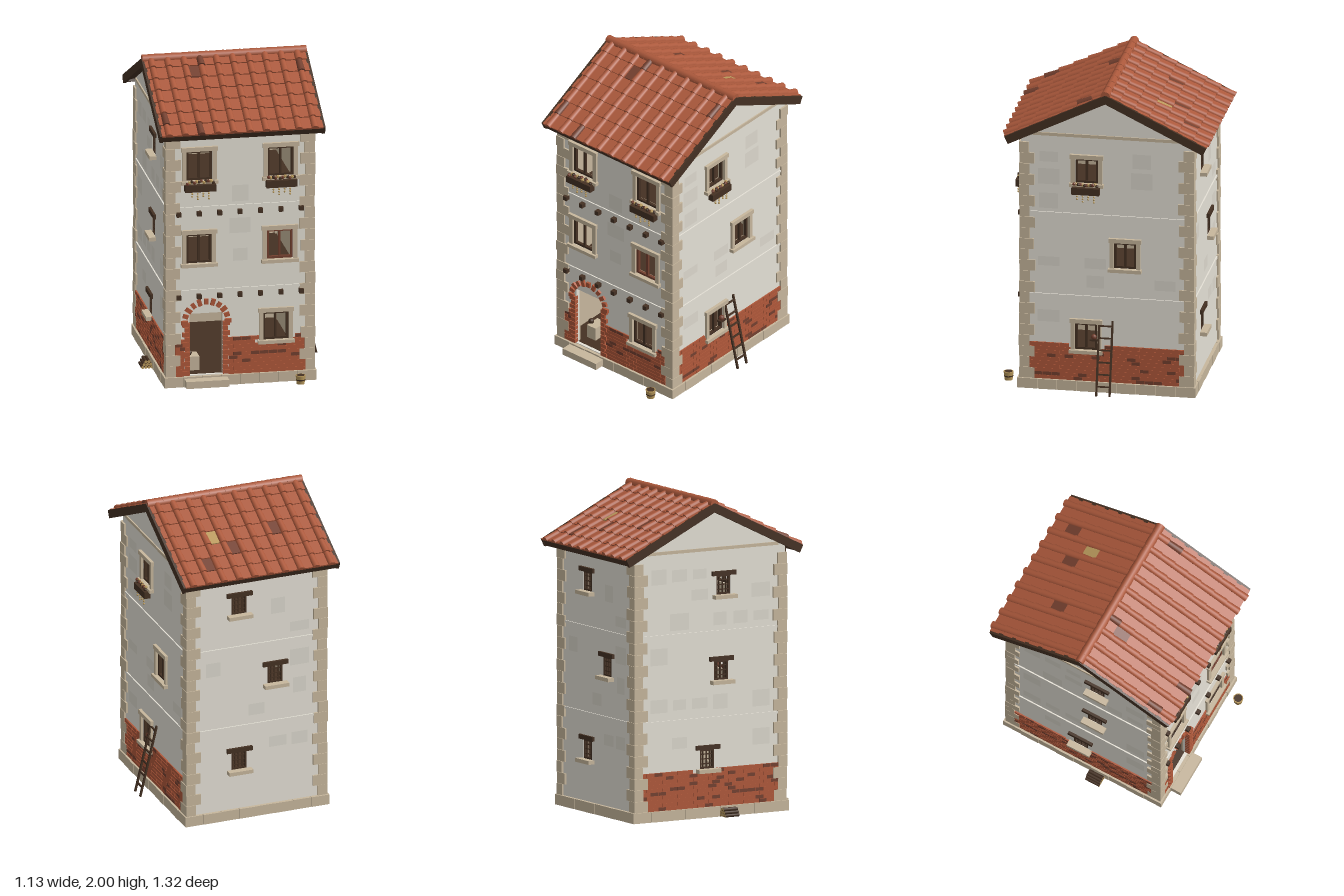
import * as THREE from 'three';
import { mergeGeometries } from 'three/addons/utils/BufferGeometryUtils.js';

const material = (name, color) => {
  const m = new THREE.MeshStandardMaterial({ color });
  m.name = name;
  return m;
};

const HW = 0.46, HD = 0.54;      // wall half width and half depth
const SLOPE = 0.488, APEX = 1.965;

export function createModel() {
  const plaster = material('plaster', 0xe5e1d6), aged = material('agedPlaster', 0xdcd8cd);
  const stone = material('stone', 0xc7b79d), brick = material('brick', 0xb0583a);
  const darkBrick = material('darkBrick', 0x74402f), tile = material('roofTile', 0xac593c);
  const wood = material('darkWood', 0x453123), straw = material('straw', 0xba9a5c);

  let seed = 7;
  const rand = () => (seed = (seed * 16807) % 2147483647) / 2147483647;

  const model = new THREE.Group();
  model.name = 'townHouse';
  const house = new THREE.Group();
  house.name = 'house';
  house.position.set(-0.015, 0, -0.01);
  model.add(house);

  const add = (parent, name, geo, mat) => {
    const mesh = new THREE.Mesh(geo, mat);
    mesh.name = name;
    parent.add(mesh);
    return mesh;
  };
  const boxGeo = (w, h, d, x, y, z) => new THREE.BoxGeometry(w, h, d).translate(x, y, z);
  const box = (parent, name, mat, ...dims) => add(parent, name, boxGeo(...dims), mat);
  const merged = (parent, name, mat, geos) => geos.length && add(parent, name, mergeGeometries(geos), mat);

  // Openings per face: u = across, y0..y1 = height, small = latticed window
  const win = (u, y0, y1, w, opts = {}) => ({ u, y0, y1, w, ...opts });
  const small = (u, y) => win(u, y - 0.06, y + 0.06, 0.1, { small: true });
  const door = win(-0.215, 0.07, 0.47, 0.21, { door: true });
  const faces = [
    { name: 'front', half: HW, dist: HD, turn: 0, openings: [door,
      win(-0.258, 1.34, 1.53, 0.165, { planter: true }), win(0.255, 1.34, 1.53, 0.165, { planter: true }),
      win(-0.26, 0.8, 0.99, 0.16), win(0.25, 0.8, 0.99, 0.165, { frame: darkBrick }),
      win(0.225, 0.275, 0.455, 0.16)] },
    { name: 'left', half: HD, dist: HW, turn: Math.PI / 2, gable: true, openings: [
      win(-0.127, 1.37, 1.53, 0.145, { planter: true }), win(0.115, 0.82, 0.99, 0.14), win(-0.13, 0.27, 0.445, 0.14)] },
    { name: 'back', half: HW, dist: HD, turn: Math.PI, openings: [small(-0.115, 1.445), small(0.125, 0.94), small(-0.115, 0.39)] },
    { name: 'right', half: HD, dist: HW, turn: -Math.PI / 2, gable: true, openings: [small(0.097, 1.45), small(0.08, 0.915), small(-0.02, 0.365)] },
  ];

  // Wall panel with its openings cut through
  const wallGeo = (f, half, depth, z) => {
    const pts = [[-half, 0.055], [half, 0.055], [half, 1.67]];
    if (f.gable) pts.push([0, 1.94]);
    pts.push([-half, 1.67]);
    const shape = new THREE.Shape(pts.map(p => new THREE.Vector2(...p)));
    for (const o of f.openings) {
      const a = o.u - o.w / 2, b = o.u + o.w / 2;
      shape.holes.push(new THREE.Path([[a, o.y0], [a, o.y1], [b, o.y1], [b, o.y0]].map(p => new THREE.Vector2(...p))));
    }
    return new THREE.ExtrudeGeometry(shape, { depth, bevelEnabled: false }).translate(0, 0, z);
  };
  const blocked = (f, u, y, w, h, m) => f.openings.some(o =>
    Math.abs(u - o.u) < (w + o.w) / 2 + m && y + h / 2 > o.y0 - m && y - h / 2 < o.y1 + m);

  const buildPlanter = (g, u, y, w) => {
    box(g, 'flowerBox', wood, w + 0.03, 0.045, 0.04, u, y - 0.045, 0.036);
    const leaves = [[], [], []], beads = [];
    for (let i = 0; i < 12; i++)
      leaves[i % 3].push(new THREE.IcosahedronGeometry(0.012, 0).translate(u + (i / 11 - 0.5) * w, y - 0.015 + rand() * 0.015, 0.036 + (rand() - 0.5) * 0.02));
    for (let i = 0; i < 4; i++) for (let j = 0; j < 2 + i % 2; j++)
      beads.push(new THREE.IcosahedronGeometry(0.007, 0).translate(u + (i - 1.5) * 0.035, y - 0.08 - j * 0.017, 0.045));
    [darkBrick, straw, wood].forEach((mat, k) => merged(g, 'plants', mat, leaves[k]));
    merged(g, 'trailingFlowers', straw, beads);
  };

  const buildWindow = (g, o) => {
    const { u, y0, y1, w } = o, h = y1 - y0, y = (y0 + y1) / 2, bars = [];
    const t = o.small ? 0.01 : 0.014, z = -0.012;
    for (const s of [-1, 1]) {
      bars.push(boxGeo(t, h, 0.02, u + s * (w - t) / 2, y, z), boxGeo(w, t, 0.02, u, y + s * (h - t) / 2, z));
    }
    if (o.small) {
      for (const k of [-1, 0, 1]) bars.push(boxGeo(0.006, h, 0.01, u + k * w / 4, y, z), boxGeo(w, 0.006, 0.01, u, y + k * h / 4, z));
      box(g, 'lintel', wood, 0.17, 0.028, 0.03, u, y1 + 0.014, 0.002);
      box(g, 'sill', stone, 0.16, 0.024, 0.045, u, y0 - 0.012, 0.02);
    } else {
      bars.push(boxGeo(0.014, h, 0.016, u, y, z));
      for (const s of [-1, 1]) box(g, 'jamb', stone, 0.026, h, 0.03, u + s * (w / 2 + 0.013), y, 0);
      box(g, 'lintel', stone, w + 0.065, 0.028, 0.04, u, y1 + 0.014, 0);
      box(g, 'sill', stone, w + 0.07, 0.022, 0.05, u, y0 - 0.011, 0.005);
      if (o.planter) buildPlanter(g, u, y0 + 0.005, w);
    }
    merged(g, 'windowFrame', o.frame || wood, bars);
  };

  // Brick arch and jambs round the doorway
  const buildDoor = (g, o) => {
    const geos = [];
    for (let i = 0; i <= 10; i++) {
      const a = Math.PI * i / 10;
      geos.push(new THREE.BoxGeometry(i % 2 ? 0.034 : 0.042, 0.026, 0.03).rotateZ(a)
        .translate(o.u + Math.cos(a) * 0.137, 0.415 + Math.sin(a) * 0.132, 0));
    }
    for (let i = 0; i < 11; i++) for (const s of [-1, 1]) {
      const w = i % 2 ? 0.03 : 0.045;
      geos.push(boxGeo(w, 0.027, 0.03, o.u + s * (o.w / 2 + w / 2), 0.085 + i * 0.0315, 0));
    }
    merged(g, 'doorBricks', brick, geos);
    box(g, 'doorStep', stone, 0.27, 0.045, 0.08, o.u - 0.005, 0.0325, 0.05);
    box(g, 'bench', stone, 0.07, 0.09, 0.1, o.u - 0.06, 0.115, -0.14);
    add(g, 'jug', new THREE.SphereGeometry(0.018, 10, 8).translate(o.u - 0.085, 0.178, -0.12), wood);
  };

  for (const f of faces) {
    const g = new THREE.Group();
    g.name = f.name + 'Face';
    g.rotation.y = f.turn;
    g.position.set(Math.sin(f.turn) * f.dist, 0, Math.cos(f.turn) * f.dist);
    house.add(g);
    add(g, 'wall', wallGeo(f, f.half, 0.03, -0.03), plaster);
    add(g, 'innerLining', wallGeo(f, f.half - 0.03, 0.01, -0.04), stone);
    f.openings.forEach(o => (o.door ? buildDoor : buildWindow)(g, o));

    // Weathered plaster patches, one at most per cell between the bands
    const patches = [], cols = f.gable ? 6 : 5, cell = (2 * f.half - 0.2) / cols;
    for (const y of [0.48, 0.72, 0.84, 1.03, 1.24, 1.4, 1.53]) for (let c = 0; c < cols; c++) {
      const w = cell * (0.6 + rand() * 0.35), h = 0.06 + rand() * 0.05, u = (c + 0.5 - cols / 2) * cell;
      if (rand() < 0.4 && !blocked(f, u, y, w, h, 0.05)) patches.push(new THREE.PlaneGeometry(w, h).translate(u, y, 0.001));
    }
    merged(g, 'plasterPatches', aged, patches);

    // Storey bands and gable band
    for (const y of [0.62, 1.16]) box(g, 'storeyBand', plaster, 2 * f.half, 0.014, 0.016, 0, y, 0);
    if (f.gable) box(g, 'gableBand', stone, 2 * f.half - 0.1, 0.02, 0.016, 0, 1.68, 0);

    // Brick courses along the ground floor
    if (f.name !== 'back') {
      const lots = [[], []], joints = [], edge = f.half - 0.05, bw = 0.056, bh = 0.024;
      for (let r = 0; r < 10; r++) for (let u = -edge - (r % 2) * bw / 2; u < edge; u += bw) {
        const a = Math.max(u, -edge), w = Math.min(u + bw, edge) - a, x = a + w / 2, y = 0.077 + r * bh;
        if (w < 0.006 || blocked(f, x, y, w, bh, 0.005)) continue;
        lots[rand() < 0.13 ? 1 : 0].push(boxGeo(w - 0.003, bh - 0.003, 0.018, x, y, 0));
        joints.push(boxGeo(w, bh, 0.014, x, y, 0));
      }
      merged(g, 'bricks', brick, lots[0]);
      merged(g, 'darkBricks', darkBrick, lots[1]);
      merged(g, 'brickJoints', brick, joints);
    }

    // Plinth blocks
    const n = f.gable ? 9 : 8, len = 2 * (f.half + 0.02) / n, blocks = [];
    for (let i = 0; i < n; i++)
      blocks.push(boxGeo(len - 0.002, 0.065, 0.045, -f.half - 0.02 + len * (i + 0.5), 0.0325, -0.0025 + (i % 2) * 0.002));
    merged(g, 'plinth', stone, blocks);

    // Beam ends at each storey, rafter tails under the eaves
    if (f.name === 'front') for (const y of [0.585, 1.125]) for (let i = 0; i < 7; i++)
      box(g, 'beamEnd', wood, 0.028, 0.028, 0.05, -0.39 + i * 0.129, y, 0.005);
    if (!f.gable) for (let i = 0; i < 9; i++)
      box(g, 'rafterTail', wood, 0.02, 0.025, 0.035, -0.42 + i * 0.105, 1.63, 0.01);
  }

  // Corner stones, alternating long and short
  const quoins = [];
  for (const sx of [-1, 1]) for (const sz of [-1, 1]) for (let i = 0; i < 22; i++) {
    const long = i % 2, p = 0.009 + rand() * 0.004;
    const lx = (long ? 0.09 : 0.058) + rand() * 0.008, lz = (long ? 0.06 : 0.092) + rand() * 0.008;
    quoins.push(boxGeo(lx, 0.069, lz, sx * (HW + p - lx / 2), 0.1 + i * 0.0708, sz * (HD + p - lz / 2)));
  }
  merged(house, 'cornerStones', stone, quoins);

  // Floors; the lowest one closes the hollow plinth from above
  for (const y of [0.064, 0.62, 1.16, 1.65]) box(house, 'floor', wood, 0.88, 0.014, 1.04, 0, y, 0);

  // Roof: two slopes of pan and cover tiles
  const angle = Math.atan(SLOPE), L = 0.63 / Math.cos(angle), pitch = 0.103;
  const odd = [
    { pans: { '2:1': darkBrick }, covers: { '3:0': darkBrick, '9:1': darkBrick, '0:5': darkBrick, '2:6': darkBrick } },
    { pans: { '6:3': darkBrick, '3:4': darkBrick, '1:5': darkBrick, '2:3': straw }, covers: {} },
  ];
  odd.forEach((o, side) => {
    const wrap = new THREE.Group(), g = new THREE.Group();
    wrap.name = side ? 'backRoof' : 'frontRoof';
    wrap.rotation.y = side * Math.PI;
    g.name = 'slope';
    g.position.y = APEX;
    g.rotation.x = angle;
    house.add(wrap);
    wrap.add(g);
    box(g, 'roofDeck', wood, 1.02, 0.022, L, 0, -0.011, L / 2);
    box(g, 'eaveBoard', wood, 1.02, 0.035, 0.02, 0, -0.02, L - 0.01);
    for (const s of [-1, 1]) box(g, 'rakeBoard', wood, 0.02, 0.052, L + 0.005, s * 0.512, -0.016, L / 2);
    const lots = new Map([[tile, []], [darkBrick, []], [straw, []]]);
    const panGeo = (w, x, z) => new THREE.BoxGeometry(w, 0.01, pitch + 0.006).rotateX(-0.07).translate(x, 0.006, z - 0.003);
    for (let r = 0; r < 7; r++) {
      const z = pitch * (r + 0.5) - 0.016;
      for (let i = 0; i < 10; i++) {
        const x = (side ? -0.456 : -0.465) + i * 0.1023;
        lots.get(o.covers[i + ':' + r] || tile).push(
          new THREE.CylinderGeometry(0.024, 0.02, pitch + 0.012, 8, 1, false, Math.PI / 2, Math.PI)
            .rotateX(Math.PI / 2 - 0.06).translate(x, 0.008, z));
        if (i < 9) lots.get(o.pans[i + ':' + r] || tile).push(panGeo(0.098, x + 0.051, z));
      }
      for (const s of [-1, 1]) lots.get(tile).push(panGeo(0.052, s * 0.483, z));
    }
    const names = ['roofTiles', 'darkRoofTiles', 'paleRoofTiles'];
    [...lots].forEach(([mat, geos], k) => merged(g, names[k], mat, geos));
  });
  // Ridge caps
  const caps = [];
  for (let i = 0; i < 10; i++)
    caps.push(new THREE.CylinderGeometry(0.028, 0.03, 0.106, 10).rotateZ(Math.PI / 2).translate(-0.465 + i * 0.1033, 1.97, 0));
  merged(house, 'ridgeCaps', tile, caps);

  // Ladder leaning on the left wall
  const ladder = new THREE.Group();
  ladder.name = 'ladder';
  ladder.position.set(0.574, 0.008, 0.005);
  ladder.rotation.z = Math.atan2(0.11, 0.46);
  house.add(ladder);
  for (const s of [-1, 1]) box(ladder, 'ladderRail', wood, 0.012, 0.475, 0.012, 0, 0.2375, s * 0.042);
  for (let i = 0; i < 6; i++) box(ladder, 'ladderRung', wood, 0.01, 0.01, 0.084, 0, 0.06 + i * 0.076, 0);

  // Pot on the lower left window sill
  add(house, 'sillPot', new THREE.SphereGeometry(0.018, 10, 8).translate(HW + 0.01, 0.36, 0.08), darkBrick);
  box(house, 'potBracket', wood, 0.03, 0.012, 0.05, HW + 0.01, 0.342, 0.08);

  // Bucket by the front corner
  const bucket = new THREE.Group();
  bucket.name = 'bucket';
  bucket.position.set(0.364, 0.033, 0.636);
  house.add(bucket);
  add(bucket, 'bucketBody', new THREE.CylinderGeometry(0.032, 0.025, 0.055, 12), straw);
  add(bucket, 'bucketHoop', new THREE.CylinderGeometry(0.0305, 0.0295, 0.008, 12, 1, true), wood);
  add(bucket, 'bucketInside', new THREE.CircleGeometry(0.026, 12).rotateX(-Math.PI / 2).translate(0, 0.0285, 0), wood);

  // Firewood stack
  for (let r = 0; r < 3; r++) for (let i = 0; i < 4 - r; i++)
    add(house, 'firewoodLog', new THREE.CylinderGeometry(0.01, 0.01, 0.1, 8).rotateX(Math.PI / 2)
      .translate(-0.543 + (i + r * 0.5) * 0.02, 0.012 + r * 0.018, 0.11), [wood, straw, straw]);

  return model;
}
